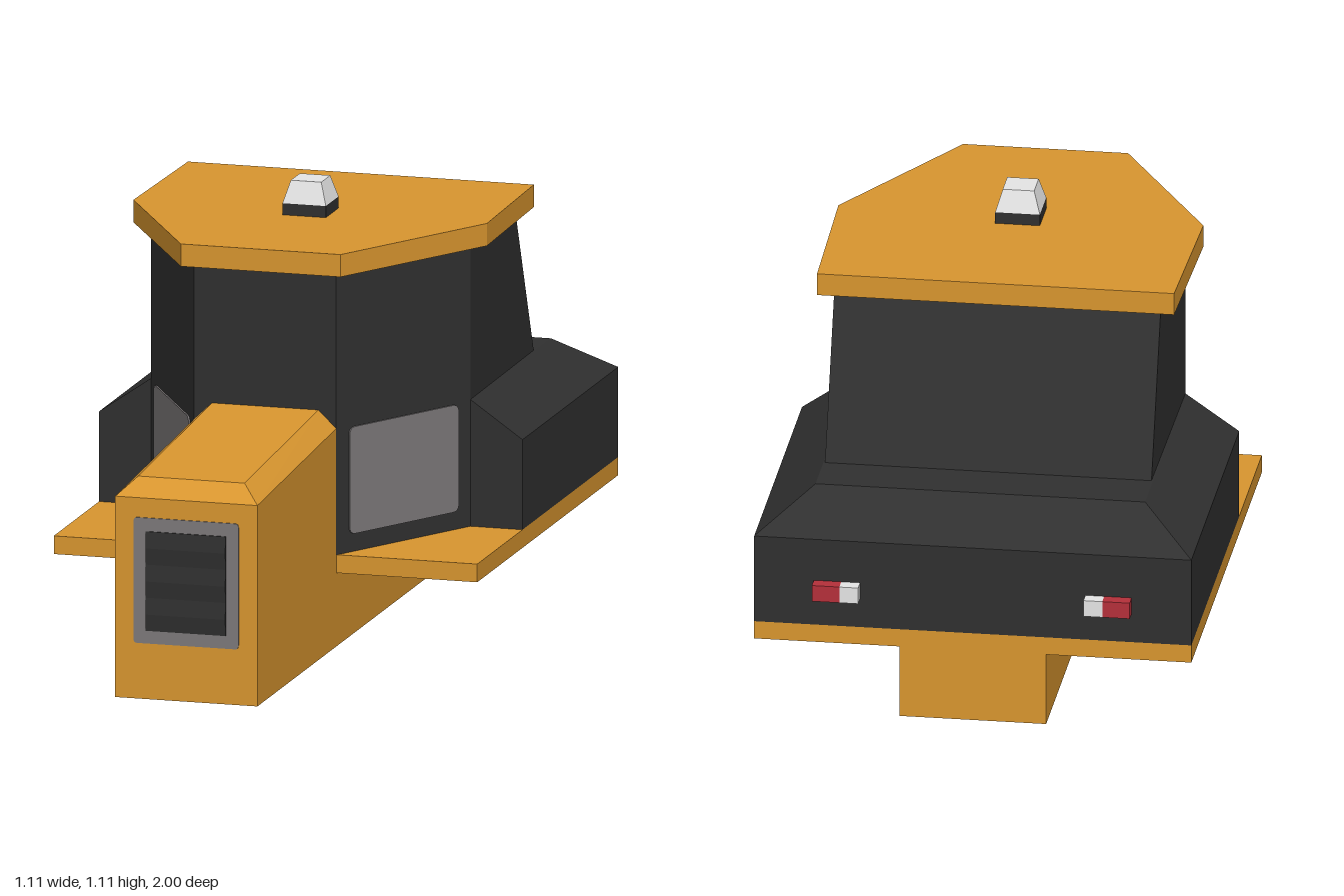
import * as THREE from 'three';

const mat = (name, color) => {
  const m = new THREE.MeshStandardMaterial({ color });
  m.name = name;
  return m;
};

// Solid from stacked rings of [x, y, z] corners, counterclockwise from above
function loft(rings) {
  const n = rings[0].length, pos = [];
  const tri = (a, b, c) => pos.push(...a, ...b, ...c);
  for (let r = 0; r < rings.length - 1; r++) {
    for (let i = 0; i < n; i++) {
      const j = (i + 1) % n, lo = rings[r], hi = rings[r + 1];
      tri(lo[i], lo[j], hi[j]);
      tri(lo[i], hi[j], hi[i]);
    }
  }
  const bottom = rings[0], top = rings[rings.length - 1];
  for (let i = 1; i < n - 1; i++) {
    tri(bottom[0], bottom[i + 1], bottom[i]);
    tri(top[0], top[i], top[i + 1]);
  }
  const g = new THREE.BufferGeometry();
  g.setAttribute('position', new THREE.Float32BufferAttribute(pos, 3));
  g.computeVertexNormals();
  return g;
}

// Mirrored ring from the left-hand corners, listed front to back
const ring = (half) => [...half, ...half.map(([x, y, z]) => [-x, y, z]).reverse()];

// Thin plate with rounded corners, centred, facing +z
function plate(w, h, r, depth) {
  const s = new THREE.Shape(), x = w / 2, y = h / 2;
  s.moveTo(-x + r, -y);
  s.lineTo(x - r, -y);
  s.quadraticCurveTo(x, -y, x, -y + r);
  s.lineTo(x, y - r);
  s.quadraticCurveTo(x, y, x - r, y);
  s.lineTo(-x + r, y);
  s.quadraticCurveTo(-x, y, -x, y - r);
  s.lineTo(-x, -y + r);
  s.quadraticCurveTo(-x, -y, -x + r, -y);
  return new THREE.ExtrudeGeometry(s, { depth, bevelEnabled: false, curveSegments: 4 });
}

export function createModel() {
  const model = new THREE.Group();
  const orange = mat('orange paint', 0xd9962f);
  const black = mat('black body', 0x303030);
  const grey = mat('grey panel', 0x7d797a);
  const white = mat('lamp white', 0xe6e6e6);
  const red = mat('lamp red', 0xb5303a);

  const add = (name, geometry, material, x = 0, y = 0, z = 0) => {
    const m = new THREE.Mesh(geometry, material);
    m.name = name;
    m.position.set(x, y, z);
    model.add(m);
    return m;
  };
  const box = (name, material, x0, x1, y0, y1, z0, z1) =>
    add(name, new THREE.BoxGeometry(x1 - x0, y1 - y0, z1 - z0), material,
      (x0 + x1) / 2, (y0 + y1) / 2, (z0 + z1) / 2);

  // Chassis beam and platform
  box('chassisBeam', orange, -0.187, 0.187, 0, 0.19, -0.965, 0.29);
  box('platform', orange, -0.557, 0.557, 0.19, 0.237, -0.965, 0.287);

  // Hood with chamfered, sloping top
  add('hood', loft([
    ring([[0.187, 0, 0.99], [0.187, 0, 0.28]]),
    ring([[0.187, 0.52, 0.99], [0.187, 0.565, 0.28]]),
    ring([[0.14, 0.565, 0.945], [0.14, 0.61, 0.28]]),
  ]), orange);

  // Grille surround and ribbed louvres
  add('grilleFrame', plate(0.276, 0.325, 0.01, 0.003), grey, 0, 0.307, 0.99);
  const ribs = new THREE.Shape();
  ribs.moveTo(0, 0);
  for (let i = 0; i <= 6; i++) ribs.lineTo(i % 2 ? 0.007 : 0.003, i * 0.257 / 6);
  ribs.lineTo(0, 0.257);
  const louvres = new THREE.ExtrudeGeometry(ribs, { depth: 0.21, bevelEnabled: false });
  louvres.rotateY(-Math.PI / 2);
  // Turned profile faces +z once mirrored by a half turn about y
  louvres.translate(0.105, 0, 0);
  louvres.rotateY(Math.PI);
  louvres.rotateY(-Math.PI / 2).rotateY(Math.PI / 2);
  add('grilleLouvres', louvres, black, 0, 0.178, 0.993);
  louvres.computeBoundingBox();
  if (louvres.boundingBox.min.z < -0.001) louvres.rotateY(Math.PI);

  // Rear body with chamfered sides and back
  add('rearBody', loft([
    ring([[0.557, 0.237, -0.115], [0.557, 0.237, -0.965]]),
    ring([[0.557, 0.47, -0.115], [0.557, 0.47, -0.965]]),
    ring([[0.42, 0.565, -0.115], [0.42, 0.565, -0.83]]),
  ]), black);

  // Cab with angled front corners and sloping back
  const cabRing = (y, back) =>
    ring([[0.187, y, 0.29], [0.42, y, -0.115], [0.416, y, back]]);
  add('cab', loft([cabRing(0.237, -0.69), cabRing(0.565, -0.69), cabRing(0.967, -0.525)]), black);

  // Roof slab
  const roofRing = (y) => ring([[0.21, y, 0.33], [0.465, y, -0.11], [0.455, y, -0.56]]);
  add('roof', loft([roofRing(0.967), roofRing(1.025)]), orange);

  // Roof beacon
  const square = (s, y) => ring([[s, y, s - 0.113], [s, y, -s - 0.113]]);
  add('beaconBase', loft([square(0.057, 1.025), square(0.057, 1.055)]), black);
  add('beaconLamp', loft([square(0.057, 1.055), square(0.04, 1.112)]), white);

  for (const s of [1, -1]) {
    const side = s > 0 ? 'left' : 'right';
    // Panel on the angled cab face
    const panel = add(side + 'CabPanel', plate(0.38, 0.277, 0.02, 0.004), grey, s * 0.3035, 0.422, 0.0875);
    panel.rotation.y = s * Math.atan2(0.405, 0.233);
    // Rear lights
    const lamp = (name, material, a, b) =>
      box(side + name, material, Math.min(s * a, s * b), Math.max(s * a, s * b), 0.315, 0.358, -1, -0.965);
    lamp('ReverseLight', white, 0.287, 0.335);
    lamp('TailLight', red, 0.335, 0.405);
  }
  return model;
}
